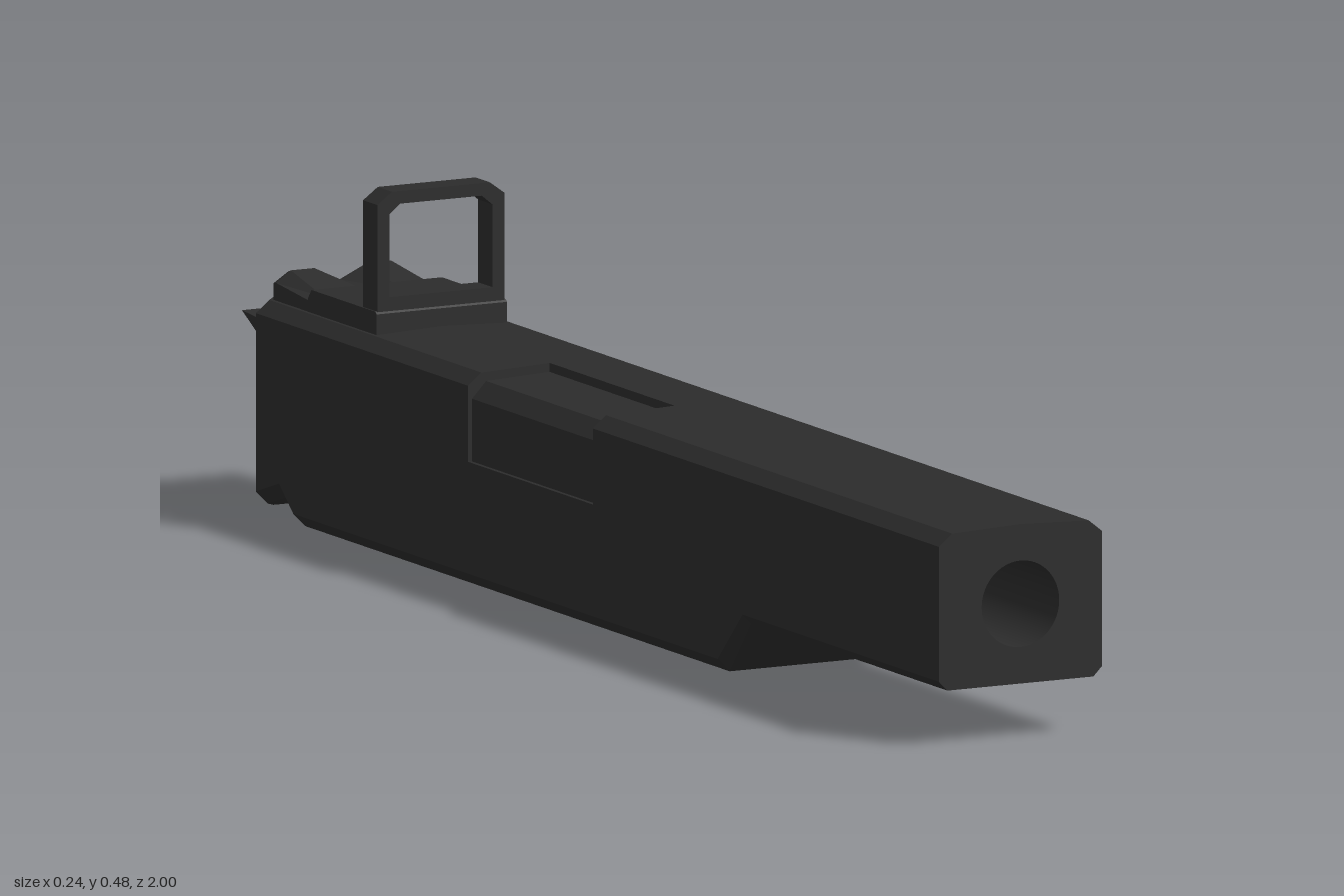
import * as THREE from 'three';

const charcoal = new THREE.MeshStandardMaterial({ color: 0x2c2c2c });
charcoal.name = 'charcoal';

// Joins rings of [x, y] points, ordered from front (+z) to back, with flat facets.
function loft(sections, capFront, capBack) {
  const pos = [];
  const tri = (a, b, c) => {
    const area = new THREE.Triangle(a, b, c).getArea();
    if (area > 1e-8) for (const p of [a, b, c]) pos.push(p.x, p.y, p.z);
  };
  const rings = sections.map(s => s.ring.map(([x, y]) => new THREE.Vector3(x, y, s.z)));
  for (let j = 0; j < rings.length - 1; j++) {
    const A = rings[j], B = rings[j + 1];
    for (let i = 0; i < A.length; i++) {
      const k = (i + 1) % A.length;
      tri(A[i], B[i], B[k]);
      tri(A[i], B[k], A[k]);
    }
  }
  const cap = (ring, flip) => {
    const faces = THREE.ShapeUtils.triangulateShape(ring.map(p => new THREE.Vector2(p.x, p.y)), []);
    for (const [a, b, c] of faces) flip ? tri(ring[a], ring[c], ring[b]) : tri(ring[a], ring[b], ring[c]);
  };
  if (capFront) cap(rings[0], false);
  if (capBack) cap(rings[rings.length - 1], true);
  const g = new THREE.BufferGeometry();
  g.setAttribute('position', new THREE.Float32BufferAttribute(pos, 3));
  g.computeVertexNormals();
  return g;
}

const shapeOf = pts => new THREE.Shape(pts.map(([x, y]) => new THREE.Vector2(x, y)));

// Side profile of [z, y] points, extruded across x.
function sideExtrude(pts, width) {
  const g = new THREE.ExtrudeGeometry(shapeOf(pts), { depth: width, bevelEnabled: false });
  g.rotateY(-Math.PI / 2);
  g.translate(width / 2, 0, 0);
  return g;
}

// Rectangle with the top corners cut off.
const cutRect = (w, y0, y1, cx, cy) =>
  [[-w, y0], [w, y0], [w, y1 - cy], [w - cx, y1], [-w + cx, y1], [-w, y1 - cy]];

// Housing section: b = bottom, w = half width, c = lower chamfer, d = port depth.
function housingRing(b, w = 0.122, c = 0.018, d = 0) {
  return [
    [-w + c, b], [w - c, b], [w, b + c], [w, 0.272], [w - 0.02, 0.288], [0, 0.292],
    [0, 0.292 - d], [-w + 0.02 + d * 0.6, 0.288 - d], [-w + d * 0.5, 0.272 - d * 1.5],
    [-w + d * 0.5, 0.17], [-w, 0.17], [-w, b + c],
  ];
}

export function createModel() {
  const model = new THREE.Group();
  model.name = 'model';
  const add = (name, geometry) => {
    const m = new THREE.Mesh(geometry, charcoal);
    m.name = name;
    model.add(m);
    return m;
  };

  // Long housing with stepped underside and a shallow port on one side
  const nose = housingRing(0.078, 0.122, 0.013);
  const full = housingRing(0.002);
  const port = housingRing(0.002, 0.122, 0.018, 0.012);
  add('housing', loft([
    { z: 1, ring: nose },
    { z: 0.45, ring: nose },
    { z: 0.38, ring: full },
    { z: 0.03, ring: full },
    { z: 0.03, ring: port },
    { z: -0.32, ring: port },
    { z: -0.32, ring: full },
    { z: -0.81, ring: full },
    { z: -0.85, ring: housingRing(0.036) },
    { z: -0.915, ring: housingRing(0.015) },
    { z: -0.937, ring: housingRing(0.008, 0.102) },
  ], false, true));

  // Front face with the round bore
  const boreY = 0.185, boreR = 0.058, boreDepth = 0.25;
  const face = shapeOf(nose.filter((p, i) => i !== 6));
  face.holes.push(new THREE.Path().absarc(0, boreY, boreR, 0, Math.PI * 2, true));
  const faceGeo = new THREE.ShapeGeometry(face, 24);
  faceGeo.translate(0, 0, 1);
  add('frontFace', faceGeo);

  // Bore wall, turned to show its inside, and its end disc
  const wall = new THREE.CylinderGeometry(boreR, boreR, boreDepth, 48, 1, true);
  wall.scale(-1, 1, 1);
  const n = wall.attributes.normal;
  for (let i = 0; i < n.count; i++) n.setXYZ(i, -n.getX(i), -n.getY(i), -n.getZ(i));
  wall.rotateX(Math.PI / 2);
  wall.translate(0, boreY, 1 - boreDepth / 2);
  add('boreWall', wall);
  add('boreEnd', new THREE.CircleGeometry(boreR, 48)).position.set(0, boreY, 1 - boreDepth);

  // Mounting plate and upright window frame
  add('framePlate', sideExtrude([
    [-0.815, 0.285], [-0.622, 0.285], [-0.622, 0.316], [-0.626, 0.319], [-0.805, 0.319], [-0.815, 0.306],
  ], 0.195));
  const frame = shapeOf(cutRect(0.095, 0.317, 0.478, 0.022, 0.016));
  frame.holes.push(new THREE.Path(
    cutRect(0.077, 0.337, 0.461, 0.016, 0.013).reverse().map(([x, y]) => new THREE.Vector2(x, y))));
  const frameGeo = new THREE.ExtrudeGeometry(frame, { depth: 0.04, bevelEnabled: false });
  frameGeo.translate(0, 0, -0.665);
  add('windowFrame', frameGeo);

  // Notched block rising toward the back
  const notched = (side, peak, dip) => [
    [-0.097, 0.285], [0.097, 0.285], [0.097, side], [0.075, peak], [0.04, peak],
    [0, dip], [-0.04, peak], [-0.075, peak], [-0.097, side],
  ];
  add('notchedBlock', loft([
    { z: -0.81, ring: notched(0.303, 0.306, 0.304) },
    { z: -0.905, ring: notched(0.312, 0.327, 0.308) },
    { z: -0.913, ring: notched(0.31, 0.324, 0.306) },
  ], true, true));

  // Wedge-shaped rear tab
  add('rearTab', sideExtrude([[-0.93, 0.222], [-0.93, 0.255], [-1, 0.26]].reverse(), 0.195));

  return model;
}
